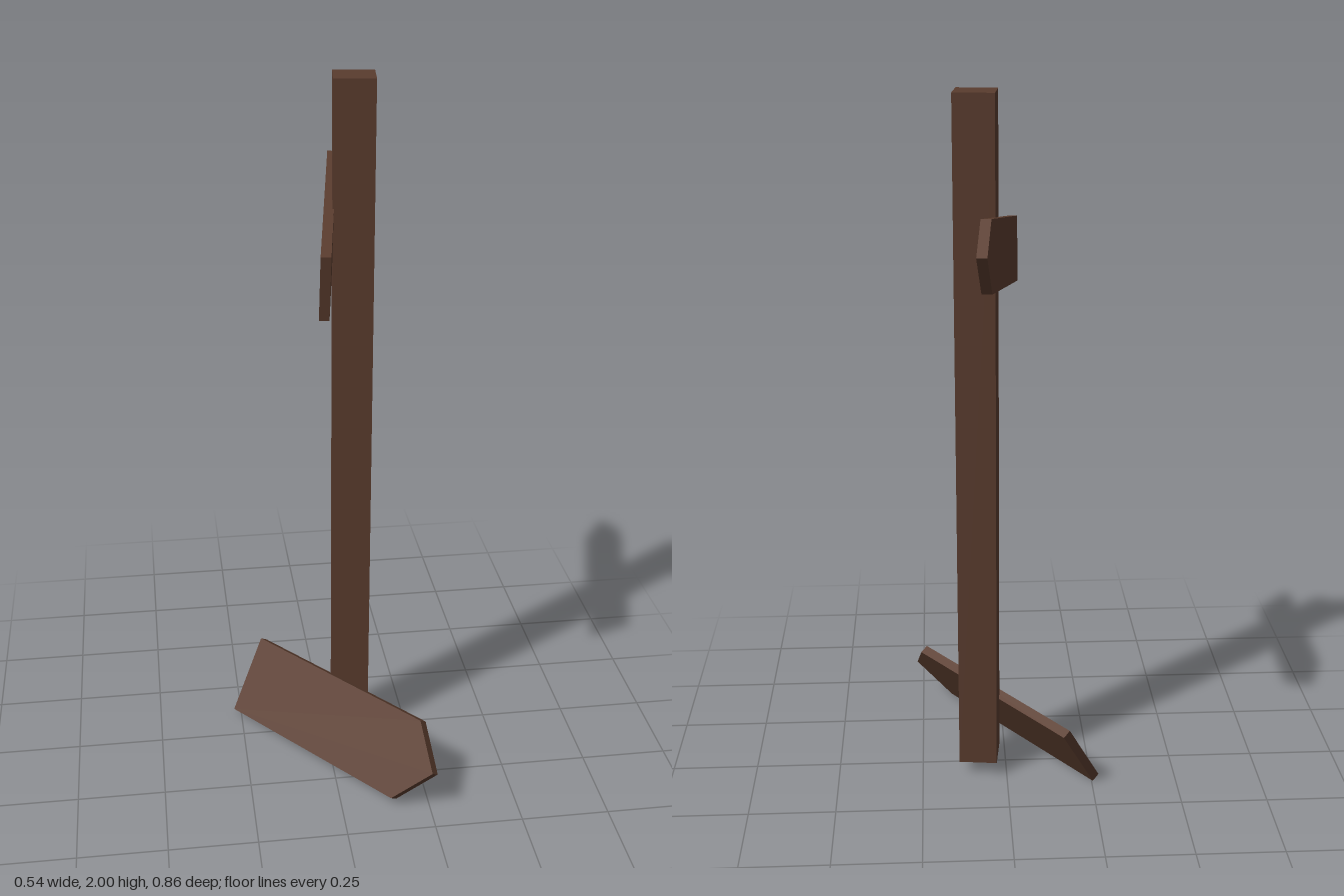
import * as THREE from 'three';

const wood = new THREE.MeshStandardMaterial({ color: 0x5a3c2e, flatShading: true });

// Pointed plank: starts at the middle of its tail, runs along `dir`, `up` is its height direction
function arrowBoard(name, tail, dir, up, body, length, height, thickness) {
  const h = height / 2;
  const outline = [[0, -h], [body, -h], [length, 0], [body, h], [0, h]];
  const shape = new THREE.Shape(outline.map(([x, y]) => new THREE.Vector2(x, y)));
  const geometry = new THREE.ExtrudeGeometry(shape, { depth: thickness, bevelEnabled: false });
  geometry.translate(0, 0, -thickness / 2);

  const u = new THREE.Vector3(...dir).normalize();
  const n = u.clone().cross(new THREE.Vector3(...up)).normalize();
  const v = n.clone().cross(u);
  geometry.applyMatrix4(new THREE.Matrix4().makeBasis(u, v, n).setPosition(...tail));

  const board = new THREE.Mesh(geometry, wood);
  board.name = name;
  return board;
}

export function createModel() {
  const group = new THREE.Group();
  group.name = 'signpost';

  // Square post, slightly turned
  const post = new THREE.Mesh(new THREE.BoxGeometry(0.111, 1.955, 0.111), wood);
  post.name = 'post';
  post.position.set(0.079, 1.0225, -0.025);
  post.rotation.y = -0.115;
  group.add(post);

  // Board still fixed to the post
  group.add(arrowBoard('upperBoard', [-0.033, 1.525, 0.259],
    [0.11, 0.13, -0.688], [0, 0.18, 0.035], 0.615, 0.708, 0.183, 0.027));

  // Fallen board leaning against the foot of the post
  group.add(arrowBoard('fallenBoard', [-0.215, 0.108, -0.161],
    [0.474, 0.017, 0.587], [0.092, 0.2, -0.088], 0.655, 0.755, 0.237, 0.027));

  return group;
}
